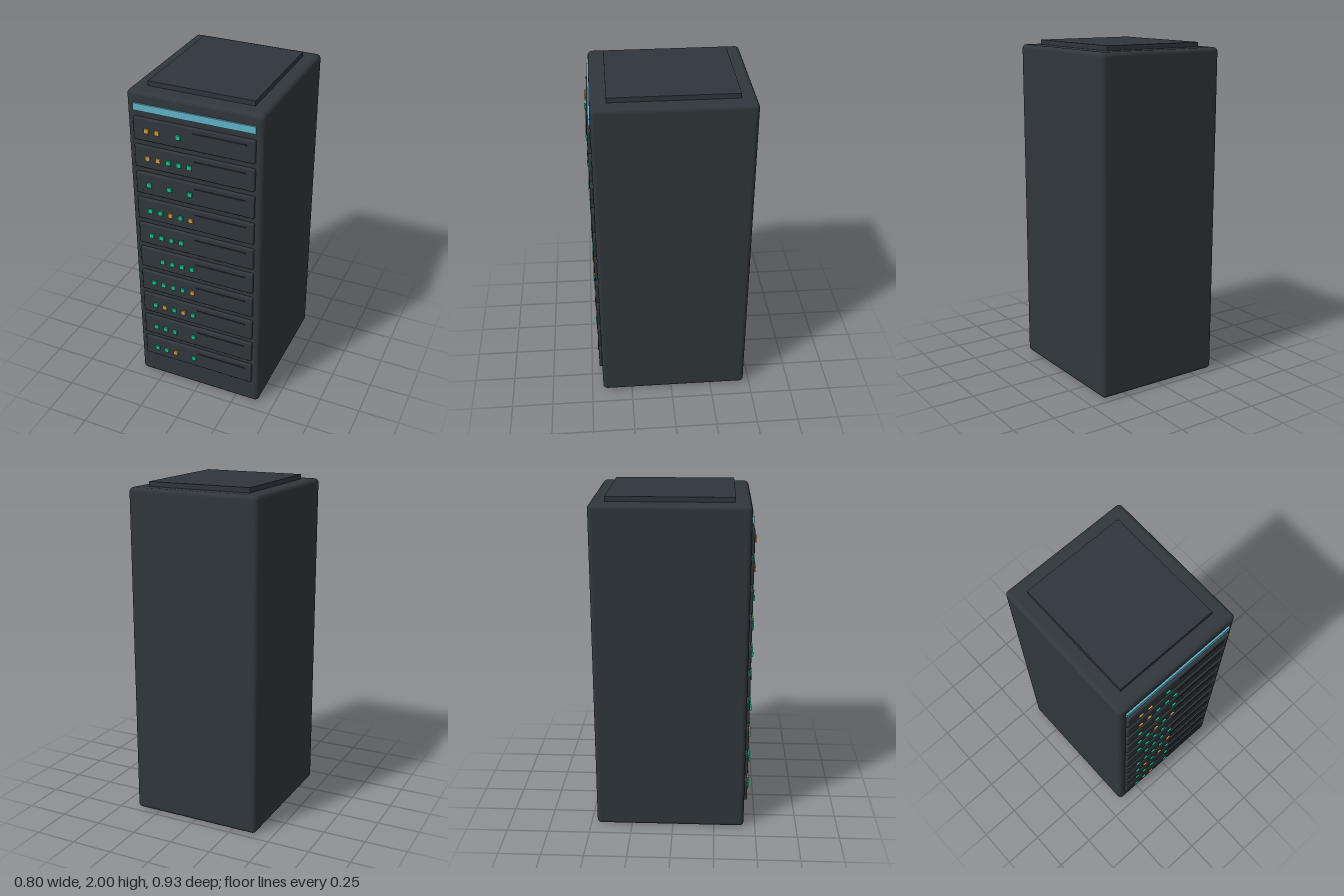
import * as THREE from 'three';
import { RoundedBoxGeometry } from 'three/addons/geometries/RoundedBoxGeometry.js';

const paint = (name, color) => {
  const m = new THREE.MeshStandardMaterial({ color });
  m.name = name;
  return m;
};

export function createModel() {
  const group = new THREE.Group();
  group.name = 'serverRack';
  const casing = paint('charcoal casing', 0x30363b);
  const panel = paint('slate top panel', 0x30353c);
  const slotDark = paint('dark slot', 0x2b2c33);
  const cyan = paint('cyan strip', 0x5fb3c6);
  const green = paint('green light', 0x0cc48a);
  const amber = paint('amber light', 0xcf9a45);

  const add = (parent, name, geometry, material, x, y, z) => {
    const mesh = new THREE.Mesh(geometry, material);
    mesh.name = name;
    mesh.position.set(x, y, z);
    parent.add(mesh);
  };

  // Cabinet with softly rounded edges and a raised lid panel
  add(group, 'cabinet', new RoundedBoxGeometry(0.8, 1.972, 0.895, 4, 0.026), casing, 0, 0.986, -0.0165);
  add(group, 'topPanel', new THREE.BoxGeometry(0.626, 0.04, 0.717), panel, 0, 1.98, -0.018);

  // Glowing strip above the server units
  add(group, 'statusStrip', new THREE.BoxGeometry(0.715, 0.042, 0.02), cyan, 0, 1.885, 0.431);

  // Server units, top to bottom: G green, A amber, . unlit
  const rows = ['AA.G.', 'AAGGG', 'G.G.G', 'GGAGA', 'GGGG.', '.GGGG', 'GGGGA', 'GAGAG', 'GGG.G', 'GGA.G'];
  const unitGeo = new RoundedBoxGeometry(0.716, 0.136, 0.04, 3, 0.008);
  const slotGeo = new THREE.BoxGeometry(0.31, 0.008, 0.008);
  const lightGeo = new THREE.BoxGeometry(0.027, 0.027, 0.009);
  rows.forEach((row, i) => {
    const unit = new THREE.Group();
    unit.name = 'serverUnit' + (i + 1);
    unit.position.y = 1.76 - i * 0.17;
    add(unit, 'unitFace', unitGeo, casing, 0, 0, 0.429);
    add(unit, 'ventSlot', slotGeo, slotDark, 0.158, 0.036, 0.449);
    [...row].forEach((c, j) => {
      if (c !== '.') add(unit, 'statusLight', lightGeo, c === 'G' ? green : amber, -0.272 + j * 0.063, 0, 0.4575);
    });
    group.add(unit);
  });
  return group;
}
